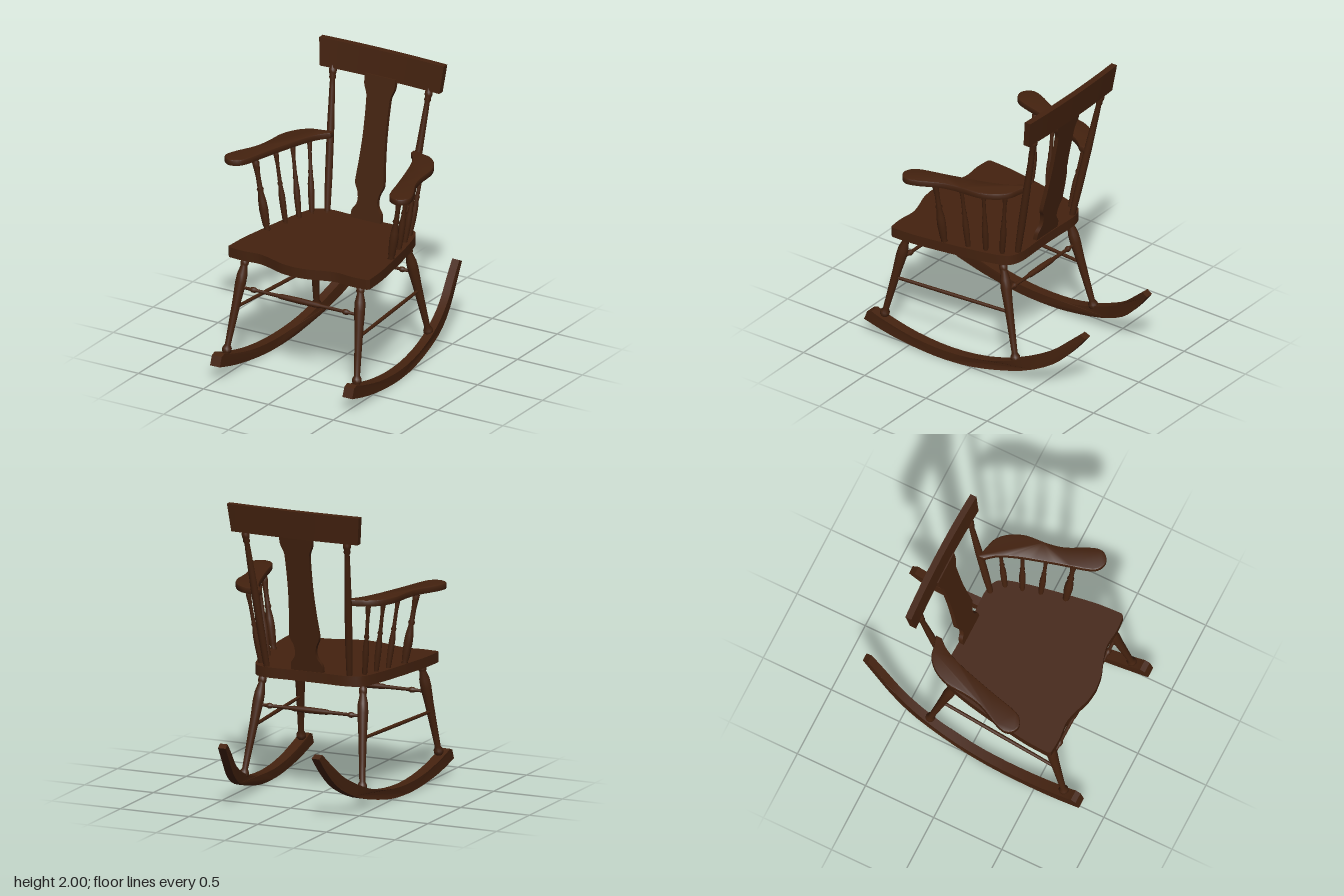
import * as THREE from 'three';
import { toCreasedNormals } from 'three/addons/utils/BufferGeometryUtils.js';

const V = (p) => new THREE.Vector3(...p);
const V2 = (p) => new THREE.Vector2(...p);
const spline = (pts, n) => new THREE.SplineCurve(pts.map(V2)).getPoints(n);
const wood = new THREE.MeshStandardMaterial({ color: 0x44220f });
wood.name = 'dark walnut';

// Turned profiles: [fraction along the part, radius]
const LEG = [[0, .016], [.03, .02], [.05, .032], [.08, .032], [.11, .02], [.3, .024], [.55, .03], [.72, .037],
  [.8, .035], [.88, .022], [.9, .028], [.93, .028], [.95, .019], [1, .022]];
const POST = [[0, .019], [.04, .021], [.25, .025], [.55, .025], [.85, .019], [.9, .017], [.915, .024], [.93, .02],
  [.95, .026], [.97, .026], [.985, .017], [1, .017]];
const VASE = [[0, .016], [.03, .024], [.06, .018], [.1, .024], [.3, .03], [.42, .027], [.54, .017], [.57, .024],
  [.6, .017], [.75, .016], [.88, .022], [.93, .024], [.97, .016], [1, .016]];
const SPINDLE = [[0, .013], [.06, .017], [.25, .021], [.4, .021], [.52, .014], [.55, .018], [.58, .013],
  [.8, .012], [.92, .017], [.96, .017], [1, .012]];
const RAIL = [[0, .01], [.08, .011], [.1, .019], [.12, .019], [.14, .011], [.32, .013], [.34, .018], [.5, .021],
  [.66, .018], [.68, .013], [.86, .011], [.88, .019], [.9, .019], [.92, .011], [1, .01]];
const ROD = [[0, .011], [.5, .013], [1, .011]];

export function createModel() {
  const chair = new THREE.Group();
  chair.name = 'rockingChair';

  const add = (name, geometry) => {
    const mesh = new THREE.Mesh(geometry, wood);
    mesh.name = name;
    chair.add(mesh);
    return mesh;
  };

  // Lathe-turned part running from point a to point b
  const turned = (name, a, b, profile) => {
    const from = V(a), dir = V(b).sub(from), length = dir.length();
    const g = new THREE.LatheGeometry(profile.map(([t, r]) => new THREE.Vector2(r, t * length)), 14);
    const mesh = add(name, g);
    mesh.position.copy(from);
    mesh.quaternion.setFromUnitVectors(new THREE.Vector3(0, 1, 0), dir.normalize());
  };

  // Flat board cut from an (x, z) outline, hanging down from height top
  const board = (name, outline, top, thickness, bevel = 0, hole) => {
    const shape = new THREE.Shape(outline);
    if (hole) shape.holes.push(new THREE.Path(hole));
    const g = new THREE.ExtrudeGeometry(shape, {
      depth: thickness - 2 * bevel, bevelEnabled: bevel > 0, bevelSize: bevel,
      bevelOffset: -bevel, bevelThickness: bevel, bevelSegments: 2,
    });
    g.rotateX(Math.PI / 2).translate(0, top - bevel, 0);
    add(name, toCreasedNormals(g, .6));
  };

  // Move every vertex by a rule
  const bend = (g, rule) => {
    const p = g.attributes.position, v = new THREE.Vector3();
    for (let i = 0; i < p.count; i++) {
      rule(v.fromBufferAttribute(p, i));
      p.setXYZ(i, v.x, v.y, v.z);
    }
    return toCreasedNormals(g, .5);
  };

  // Seat with a wavy front edge and a shallow dished top
  const front = spline([[0, .695], [.1, .682], [.2, .648], [.3, .624], [.42, .635], [.53, .628]], 16);
  const side = spline([[.544, .61], [.535, .45], [.51, .28], [.475, .08], [.44, -.08], [.405, -.19], [.36, -.24],
    [.27, -.262], [.13, -.258], [0, -.255]], 28);
  const half = [...front, ...side];
  const seat = [...half, ...half.slice(1, -1).reverse().map((p) => new THREE.Vector2(-p.x, p.y))];
  const dish = seat.map((p) => new THREE.Vector2(p.x * .9, .2 + (p.y - .2) * .88));
  board('seat', seat, .862, .062);
  board('seatRim', seat, .87, .008, 0, dish);

  // Back splat, leaning backwards
  const edge = spline([[.115, .86], [.112, .92], [.085, .96], [.075, 1.0], [.083, 1.05], [.106, 1.1], [.106, 1.15],
    [.095, 1.27], [.086, 1.45], [.088, 1.66], [.096, 1.71], [.115, 1.76], [.118, 1.83]], 44);
  const splat = new THREE.Shape([...edge, ...[...edge].reverse().map((p) => new THREE.Vector2(-p.x, p.y))]);
  add('backSplat', bend(new THREE.ExtrudeGeometry(splat, { depth: .03, bevelEnabled: false }),
    (v) => { v.z += -.25 - (v.y - .87) * .195; }));

  // Crest rail: flared upwards, gently curved and leaning
  add('crestRail', bend(new THREE.BoxGeometry(2, .19, .044, 20, 1, 1), (v) => {
    const up = v.y / .19 + .5;
    v.z += -.435 - up * .025 + .015 * v.x * v.x;
    v.x *= .46 + .02 * up;
    v.y += 1.905;
  }));

  // Rocker side profile in (z, y)
  const under = spline([[.84, .1], [.62, .045], [.36, .008], [.14, 0], [-.09, .02], [-.39, .09], [-.6, .19],
    [-.73, .31], [-.835, .44]], 24);
  const over = spline([[-.795, .462], [-.68, .36], [-.55, .255], [-.33, .15], [-.09, .085], [.19, .065],
    [.46, .09], [.7, .148], [.78, .178]], 24);
  const rocker = new THREE.Shape([...under, ...over, V2([.815, .165])]);
  const track = new THREE.SplineCurve([[.83, .51], [.41, .497], [0, .473], [-.42, .424], [-.84, .34]].map(V2));

  // Armrest outline in (x, z)
  const arm = [...spline([[.31, -.325], [.39, -.305], [.46, -.285], [.53, -.22], [.58, -.11], [.593, .04],
    [.62, .16], [.685, .29], [.71, .37], [.69, .42], [.64, .445], [.58, .42], [.545, .355], [.505, .2], [.46, .04],
    [.42, -.09], [.37, -.21], [.31, -.285]], 60)];

  // Arm spindles: bottom x, z and top x, z
  const spindles = [[.475, .235, .56, .255], [.435, .07, .51, .077], [.405, -.05, .48, -.085], [.375, -.16, .44, -.235]];

  for (const s of [1, -1]) {
    const name = (part) => (s > 0 ? 'left' : 'right') + part;

    const g = new THREE.ExtrudeGeometry(rocker, { depth: 1, bevelEnabled: false });
    g.rotateY(-Math.PI / 2);
    add(name('Rocker'), bend(g, (v) => {
      const t = THREE.MathUtils.clamp((.83 - v.z) / 1.67, 0, 1);
      v.x = s * track.getPoint(t).y + (v.x + .5) * (.075 - .02 * t);
    }));

    turned(name('FrontLeg'), [s * .505, .13, .715], [s * .44, .82, .555], LEG);
    turned(name('BackLeg'), [s * .435, .1, -.32], [s * .36, .82, -.15], LEG);
    turned(name('SideStretcher'), [s * .475, .455, .63], [s * .4, .455, -.235], ROD);
    turned(name('BackPost'), [s * .3, .85, -.23], [s * .372, 1.83, -.422], POST);

    board(name('Armrest'), arm.map((p) => new THREE.Vector2(s * p.x, p.y)), 1.404, .044, .008);
    spindles.forEach(([x0, z0, x1, z1], i) =>
      turned(name('ArmSpindle'), [s * x0, .85, z0], [s * x1, 1.37, z1], i ? SPINDLE : VASE));
  }

  // Cross stretchers between the legs
  turned('frontStretcher', [-.455, .595, .605], [.455, .595, .605], RAIL);
  turned('backStretcher', [-.38, .595, -.2], [.38, .595, -.2], RAIL);

  return chair;
}
